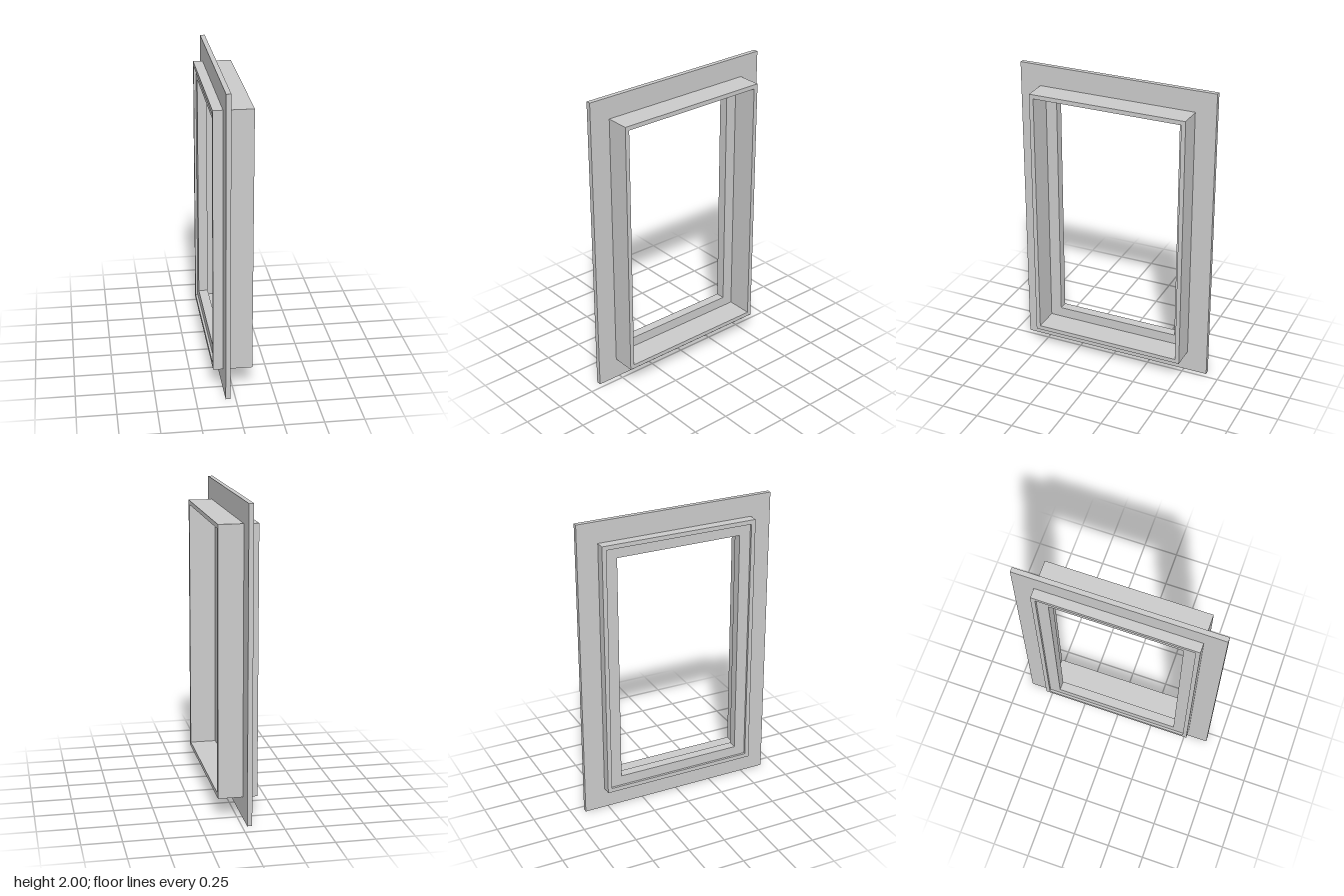
import * as THREE from 'three';

const material = new THREE.MeshStandardMaterial({ color: 0xcccccc, flatShading: true });

// Rectangle outline given by half width and half height
function rect(Type, w, h) {
  const r = new Type();
  r.moveTo(-w, -h);
  r.lineTo(w, -h);
  r.lineTo(w, h);
  r.lineTo(-w, h);
  r.closePath();
  return r;
}

// Rectangular ring in the zy plane, running from x0 to x1
function ring(name, outer, inner, x0, x1) {
  const shape = rect(THREE.Shape, ...outer);
  shape.holes.push(rect(THREE.Path, ...inner));
  const geometry = new THREE.ExtrudeGeometry(shape, { depth: x1 - x0, bevelEnabled: false });
  geometry.rotateY(Math.PI / 2);
  geometry.translate(x0, 1, 0);
  const mesh = new THREE.Mesh(geometry, material);
  mesh.name = name;
  return mesh;
}

export function createModel() {
  const group = new THREE.Group();
  group.name = 'windowFrame';

  // Half width (z) and half height (y) of each outline
  const flangeEdge = [0.66, 1];
  const sleeveOuter = [0.523, 0.861];
  const sleeveInner = [0.495, 0.833];
  const opening = [0.42, 0.766];

  group.add(
    // Thin mounting plate around the sleeve
    ring('wallFlange', flangeEdge, sleeveOuter, -0.063, -0.032),
    // Deep thin-walled box that passes through the wall
    ring('sleeve', sleeveOuter, sleeveInner, -0.125, 0.125),
    // Narrow frame set just inside the short end of the sleeve
    ring('innerFrame', sleeveInner, opening, -0.11, -0.048)
  );
  return group;
}
